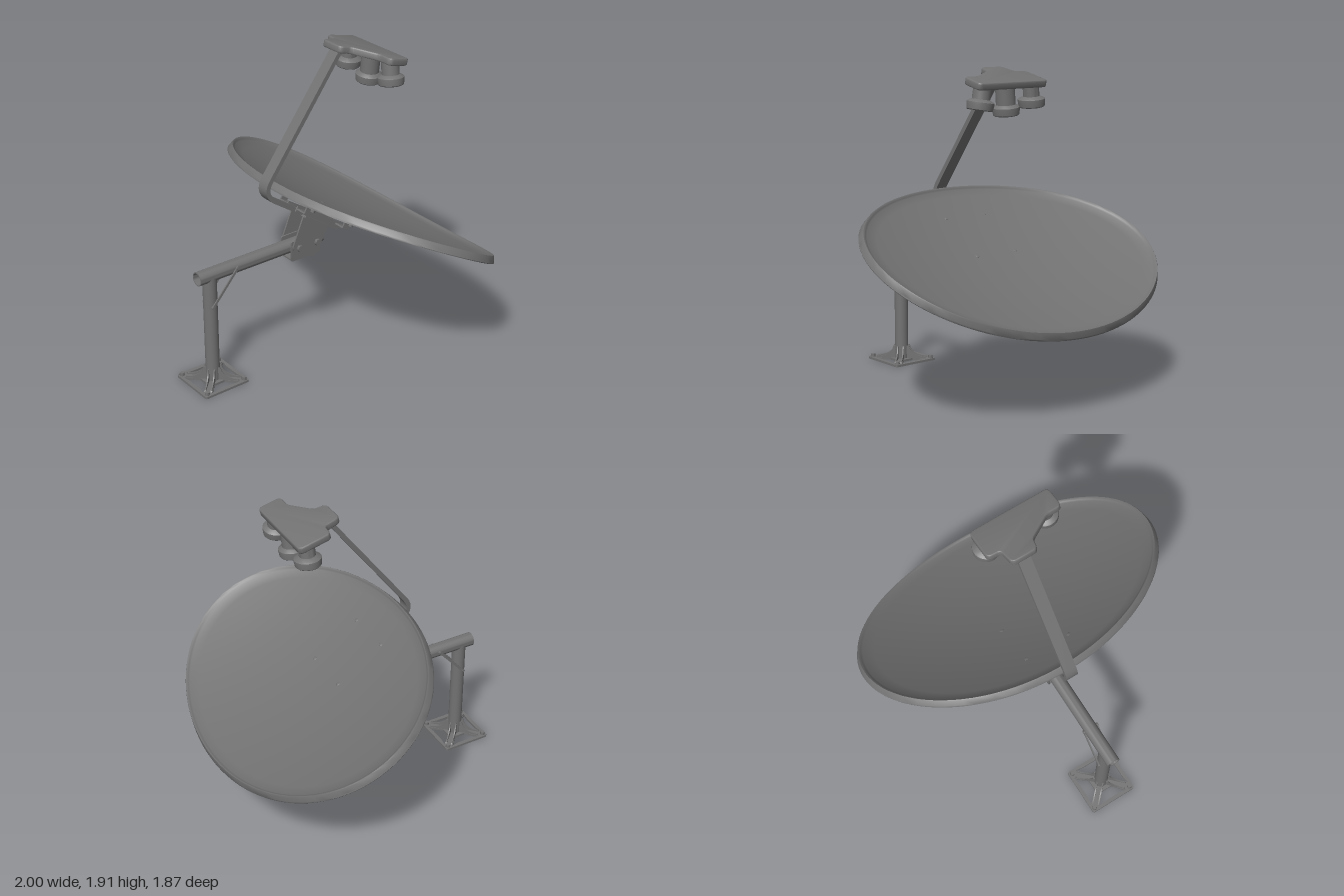
import * as THREE from 'three';
import { toCreasedNormals } from 'three/addons/utils/BufferGeometryUtils.js';

const paint = new THREE.MeshStandardMaterial({ color: 0x727272 });
const V2 = (p) => new THREE.Vector2(p[0], p[1]);

function add(parent, name, geo, x = 0, y = 0, z = 0) {
  const m = new THREE.Mesh(geo, paint);
  m.name = name;
  m.position.set(x, y, z);
  parent.add(m);
  return m;
}

// polygon with rounded corners
function roundPoly(pts, r) {
  const s = new THREE.Shape();
  pts.map(V2).forEach((p, i, all) => {
    const a = all[(i + all.length - 1) % all.length], b = all[(i + 1) % all.length];
    const toward = (q) => p.clone().lerp(q, Math.min(0.45, r / p.distanceTo(q)));
    const s0 = toward(a), s1 = toward(b);
    if (i) s.lineTo(s0.x, s0.y); else s.moveTo(s0.x, s0.y);
    s.quadraticCurveTo(p.x, p.y, s1.x, s1.y);
  });
  s.closePath();
  return s;
}

// (z, y) outline made into a slab of the given width across x
function sideSlab(shape, width) {
  const g = new THREE.ExtrudeGeometry(shape, { depth: width, bevelEnabled: false, curveSegments: 6 });
  return toCreasedNormals(g.translate(0, 0, -width / 2).rotateY(-Math.PI / 2), 0.6);
}

const lathe = (pts, n = 32) => toCreasedNormals(new THREE.LatheGeometry(pts.map(V2), n), 0.6);
const pipe = (r, len) => lathe([[r - 0.006, 0], [r, 0], [r, len], [r - 0.006, len], [r - 0.006, 0]]);

// height of the bowl in the dish's own frame
const bowl = (u, v) => 0.15 * (u * u + v * v - 0.52) + 0.012;

// closed elliptical shell: upper face, flared lip, lower face
function dishGeometry() {
  const rings = [];
  for (let i = 0; i <= 14; i++) rings.push([0.955 * i / 14, 0]);
  rings.push([0.965, 0.005], [0.973, 0.011], [0.98, 0.011], [0.985, 0.004], [0.997, -0.028], [1, -0.035], [0.998, -0.039], [0.99, -0.036], [0.975, -0.012], [0.955, -0.014]);
  for (let i = 13; i >= 0; i--) rings.push([0.955 * i / 14, -0.014]);
  const n = 96, pos = [], idx = [];
  rings.forEach(([r, dh], i) => {
    for (let j = 0; j < n; j++) {
      const a = (j / n) * Math.PI * 2, u = r * Math.cos(a), v = 0.723 * r * Math.sin(a);
      pos.push(u, bowl(u, v) + dh, v);
      if (i === rings.length - 1) continue;
      const k = (j + 1) % n, p = i * n, q = p + n;
      idx.push(p + j, p + k, q + j, p + k, q + k, q + j);
    }
  });
  const g = new THREE.BufferGeometry();
  g.setAttribute('position', new THREE.Float32BufferAttribute(pos, 3));
  g.setIndex(idx);
  return toCreasedNormals(g, 0.8);
}

function buildBase(root) {
  const base = new THREE.Group();
  base.name = 'base';
  base.position.z = 0.785;
  root.add(base);
  // foot plate with four cutouts
  const e = 0.154;
  const plate = roundPoly([[-e, -e], [e, -e], [e, e], [-e, e]], 0.015);
  for (let k = 0; k < 4; k++) {
    const turn = ([x, y]) => V2([x, y]).rotateAround(new THREE.Vector2(), k * Math.PI / 2);
    plate.holes.push(new THREE.Path([[-0.1, 0.138], [-0.035, 0.066], [0.035, 0.066], [0.1, 0.138], [0.05, 0.13], [-0.05, 0.13]].map(turn)));
  }
  const g = new THREE.ExtrudeGeometry(plate, { depth: 0.014, bevelEnabled: false });
  add(base, 'footPlate', g.rotateX(-Math.PI / 2));
  // curved gussets in pairs and a bolt at each corner
  const gusset = new THREE.Shape();
  gusset.moveTo(0.03, 0.01);
  gusset.lineTo(0.165, 0.01);
  gusset.lineTo(0.155, 0.022);
  gusset.quadraticCurveTo(0.06, 0.03, 0.05, 0.095);
  gusset.lineTo(0.03, 0.095);
  const rib = sideSlab(gusset, 0.007);
  for (let k = 0; k < 4; k++) {
    const corner = new THREE.Group();
    corner.name = 'corner';
    corner.rotation.y = Math.PI / 4 + k * Math.PI / 2;
    base.add(corner);
    for (const s of [-1, 1]) add(corner, 'gusset', rib, s * 0.018);
    add(corner, 'anchorBolt', new THREE.CylinderGeometry(0.014, 0.016, 0.02, 6), 0, 0.022, 0.186);
  }
}

function buildMast(root) {
  add(root, 'post', new THREE.CylinderGeometry(0.042, 0.042, 0.7, 32), 0, 0.35, 0.785);
  add(root, 'crossTube', pipe(0.042, 0.89).rotateX(Math.PI / 2), 0, 0.707, -0.02);
  // diagonal braces on both sides
  for (const s of [-1, 1]) {
    const brace = add(root, 'brace', new THREE.BoxGeometry(0.008, 0.015, 0.285), s * 0.046, 0.615, 0.707);
    brace.rotation.x = Math.atan2(0.21, 0.185);
    for (const [y, z] of [[0.715, 0.62], [0.515, 0.797]])
      add(root, 'braceBolt', new THREE.CylinderGeometry(0.009, 0.009, 0.012, 6).rotateZ(Math.PI / 2), s * 0.047, y, z);
  }
}

function buildBracket(root) {
  const cheek = sideSlab(roundPoly([[0.147, 0.914], [-0.02, 0.8], [-0.032, 0.77], [0.076, 0.612], [0.234, 0.71]], 0.018), 0.01);
  const clamp = sideSlab(roundPoly([[0.235, 0.755], [0.02, 0.755], [0.02, 0.625], [0.235, 0.625]], 0.012), 0.008);
  for (const s of [-1, 1]) {
    add(root, 'bracketCheek', cheek, s * 0.057);
    add(root, 'clampCheek', clamp, s * 0.047);
    for (const z of [0.183, 0.052])
      add(root, 'pivotBolt', new THREE.CylinderGeometry(0.021, 0.021, 0.02, 6).rotateZ(Math.PI / 2), s * 0.07, 0.708, z);
  }
  add(root, 'clampBottom', new THREE.BoxGeometry(0.1, 0.01, 0.2), 0, 0.632, 0.13);
  // plate joining the cheeks under the arm
  add(root, 'bracketTop', new THREE.BoxGeometry(0.15, 0.012, 0.2), 0, 0.85, 0.063).rotation.x = -0.604;
}

function buildArm(root) {
  // flat bar bent once: centre line in (z, y), thickened to both sides
  const line = [V2([-0.13, 0.73]), ...new THREE.QuadraticBezierCurve(V2([0.335, 1.05]), V2([0.42, 1.11]), V2([0.36, 1.19])).getPoints(12), V2([-0.14, 1.86])];
  const edge = (d) => line.map((p, i) => {
    const t = line[Math.min(i + 1, line.length - 1)].clone().sub(line[Math.max(i - 1, 0)]);
    if (i === 1) t.set(0.465, 0.32);
    if (i === line.length - 2) t.set(-0.5, 0.67);
    t.normalize();
    return new THREE.Vector2(p.x - t.y * d, p.y + t.x * d);
  });
  add(root, 'feedArm', sideSlab(new THREE.Shape([...edge(-0.014), ...edge(0.014).reverse()]), 0.076));
}

function buildDish(root) {
  const dish = new THREE.Group();
  dish.name = 'dish';
  dish.position.set(0, 0.817, -0.297);
  dish.rotation.x = -0.483;
  root.add(dish);
  add(dish, 'reflector', dishGeometry());
  // four mounting feet with bolts through the reflector
  for (const v of [0.13, 0.47]) for (const s of [-1, 1]) {
    const h = bowl(0.145, v);
    add(dish, 'mountStrap', new THREE.BoxGeometry(0.09, 0.01, 0.055), s * 0.075, h - 0.067, v);
    add(dish, 'mountFoot', new THREE.CylinderGeometry(0.03, 0.03, 0.012, 20), s * 0.145, h - 0.022, v);
    add(dish, 'mountWeb', new THREE.BoxGeometry(0.01, 0.055, 0.05), s * 0.115, h - 0.044, v);
    add(dish, 'mountNut', new THREE.CylinderGeometry(0.015, 0.015, 0.02, 6), s * 0.148, h - 0.034, v);
    add(dish, 'mountBolt', new THREE.SphereGeometry(0.013, 12, 8).scale(1, 0.25, 1), s * 0.145, h, v);
  }
  // side rails under the straps
  for (const s of [-1, 1]) {
    const rail = add(dish, 'mountRail', new THREE.BoxGeometry(0.01, 0.035, 0.4), s * 0.045, -0.117, 0.3);
    rail.rotation.x = -0.1;
  }
}

function buildHead(root) {
  const head = new THREE.Group();
  head.name = 'feedHead';
  root.add(head);
  const outline = [[-0.168, -0.155], [0.326, -0.155], [0.326, -0.022], [0.235, -0.022], [0.085, 0.072], [0.075, 0.142], [-0.075, 0.142], [-0.088, 0.04], [-0.168, 0.035]];
  const g = new THREE.ExtrudeGeometry(roundPoly(outline, 0.025), { depth: 0.026, bevelThickness: 0.008, bevelSize: 0.007, bevelSegments: 3, curveSegments: 6 });
  const housing = add(head, 'housing', toCreasedNormals(g.translate(0, 0, -0.013).rotateX(Math.PI / 2), 0.6), 0, 1.857, -0.243);
  housing.rotation.x = -0.23;
  // receivers: x, top y, length, neck radius, sideways lean
  for (const [x, y, len, r, lean] of [[-0.105, 1.84, 0.153, 0.047, -0.1], [0.09, 1.84, 0.192, 0.056, -0.1], [0.25, 1.825, 0.14, 0.052, 0.14]]) {
    const body = lathe([[0, -len], [0.07, -len], [0.075, -len + 0.005], [0.079, -len + 0.034], [0.079, -len + 0.046], [0.072, -len + 0.052], [r, -len + 0.062], [r, 0], [0, 0]]);
    add(head, 'receiver', body, x, y, -0.328).rotation.set(-0.04, 0, lean);
  }
}

export function createModel() {
  const root = new THREE.Group();
  root.name = 'satelliteDish';
  for (const build of [buildBase, buildMast, buildBracket, buildArm, buildDish, buildHead]) build(root);
  return root;
}
